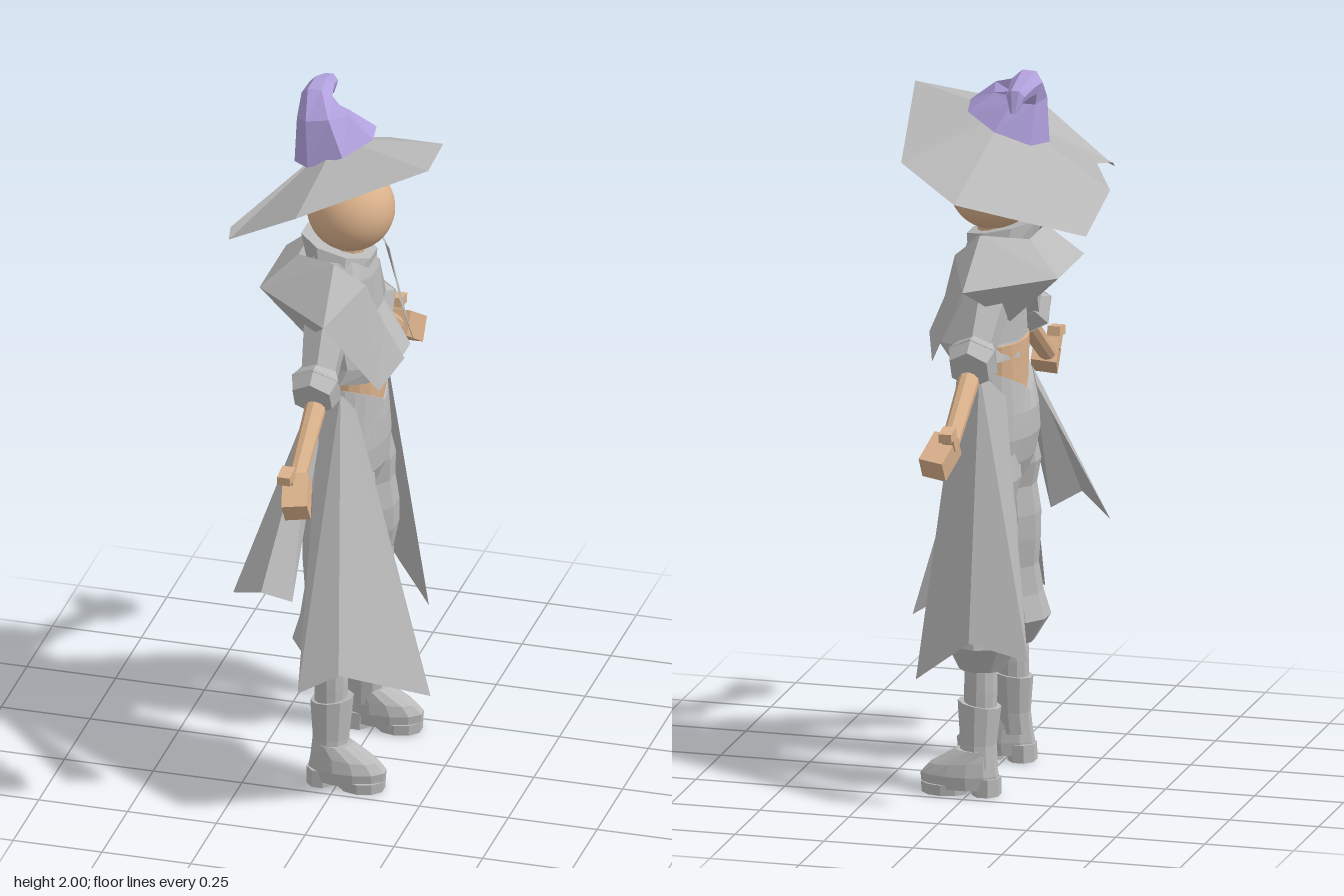
import * as THREE from 'three';

const mat = (name, color) => new THREE.MeshStandardMaterial({ name, color, side: THREE.DoubleSide });

export function createModel() {
  const root = new THREE.Group();
  const cloth = mat('grey cloth', 0xbababa);
  const skin = mat('skin', 0xdbb28c);
  const purple = mat('purple felt', 0xb0a0dc);

  const add = (name, geo, material) => {
    const m = new THREE.Mesh(geo, material);
    m.name = name;
    root.add(m);
    return m;
  };
  // faceted geometry from a list of triangle corners
  const faceted = (pts) => {
    const g = new THREE.BufferGeometry();
    g.setAttribute('position', new THREE.Float32BufferAttribute(pts.flat(), 3));
    g.computeVertexNormals();
    return g;
  };
  // rings, bottom to top: [cx, cy, cz, rx, rz, slope along x, lean towards -z]
  const loft = (rings, n, offset = 0, rule = (p) => p) => {
    const R = rings.map(([cx, cy, cz, rx, rz, slope = 0, lean = 0]) =>
      Array.from({ length: n }, (_, i) => {
        const a = ((i + offset) / n) * Math.PI * 2;
        const dx = rx * Math.cos(a), dz = rz * Math.sin(a);
        return rule([cx + dx, cy + slope * dx + Math.sin(lean) * dz, cz + Math.cos(lean) * dz], a);
      }));
    const out = [];
    const low = rings[0].slice(0, 3), high = rings[rings.length - 1].slice(0, 3);
    for (let i = 0; i < n; i++) {
      const j = (i + 1) % n;
      for (let k = 0; k < R.length - 1; k++) {
        const a = R[k], b = R[k + 1];
        out.push(a[i], b[i], a[j], a[j], b[i], b[j]);
      }
      const t = R[R.length - 1];
      out.push(low, R[0][i], R[0][j], high, t[j], t[i]);
    }
    return faceted(out);
  };
  // open cloth made of polygons, each drawn as a fan
  const sheet = (polys) => {
    const out = [];
    for (const p of polys) for (let i = 1; i < p.length - 1; i++) out.push(p[0], p[i], p[i + 1]);
    return faceted(out);
  };
  // tapered limb between two points
  const limb = (name, a, b, ra, rb, sides, material) => {
    const A = new THREE.Vector3(...a), B = new THREE.Vector3(...b);
    const g = new THREE.CylinderGeometry(rb, ra, A.distanceTo(B), sides).toNonIndexed();
    g.computeVertexNormals();
    const m = add(name, g, material);
    m.position.copy(A).add(B).multiplyScalar(0.5);
    m.quaternion.setFromUnitVectors(new THREE.Vector3(0, 1, 0), B.sub(A).normalize());
  };

  // head and neck
  add('head', new THREE.SphereGeometry(0.12, 32, 24), skin).position.set(-0.015, 1.662, 0);
  limb('neck', [-0.03, 1.45, 0], [-0.02, 1.6, 0], 0.05, 0.05, 10, skin);

  // hat: tattered brim and a bent cone
  const rim = [[-0.005, 1.7, -0.355], [0.18, 1.77, -0.225], [0.25, 1.89, 0.165], [-0.07, 1.79, 0.35],
    [-0.28, 1.66, 0.275], [-0.285, 1.68, 0.24], [-0.255, 1.69, 0.185], [-0.295, 1.62, 0.175],
    [-0.29, 1.55, -0.05], [-0.19, 1.61, -0.18]];
  const crown = [-0.05, 1.87, 0];
  add('hatBrim', sheet(rim.map((p, i) => [crown, rim[(i + 1) % rim.length], p])), cloth);
  add('hatCone', loft([
    [-0.055, 1.84, 0, 0.115, 0.112, 0.45, 0],
    [-0.09, 1.93, 0, 0.075, 0.07, 0.2, 0.2],
    [-0.12, 1.965, -0.04, 0.045, 0.044, 0, 0.9],
    [-0.125, 1.968, -0.1, 0.036, 0.03, 0, 1.4],
    [-0.12, 1.955, -0.15, 0.026, 0.024, 0, 1.9],
    [-0.12, 1.915, -0.167, 0.01, 0.008, 0, 3]], 7, 0.3), purple);

  // bare waist
  add('waist', loft([[-0.02, 1.02, 0, 0.09, 0.125], [-0.015, 1.12, 0, 0.093, 0.125],
    [-0.015, 1.24, 0, 0.095, 0.14]], 20), skin);

  // cropped jacket body and collar
  add('jacketBody', loft([[0, 1.2, 0, 0.11, 0.165], [0.02, 1.245, 0, 0.125, 0.155],
    [-0.015, 1.37, 0, 0.085, 0.125], [-0.03, 1.48, 0, 0.09, 0.125],
    [-0.045, 1.53, 0, 0.09, 0.09]], 10, 0.5), cloth);
  add('collar', loft([[-0.04, 1.48, 0, 0.09, 0.11, -0.1], [-0.048, 1.555, 0, 0.106, 0.085, -0.25]], 8, 0.5), cloth);

  // hips with a waistline dipping at the middle
  add('hips', loft([[-0.02, 0.85, 0, 0.08, 0.13], [-0.02, 0.91, 0, 0.105, 0.17], [-0.025, 0.98, 0, 0.115, 0.168],
    [-0.025, 1.05, 0, 0.112, 0.153], [-0.02, 1.13, 0, 0.102, 0.135]], 24, 0,
  (p, a) => [p[0], p[1] > 1.1 ? 1.09 + 0.08 * Math.abs(Math.sin(a)) : p[1], p[2]]), cloth);

  for (const s of [1, -1]) {
    const P = (x, y, z) => [x, y, s * z];

    // wide lapel wrapping over the shoulder to the back
    const A = P(0.06, 1.49, 0.115), B = P(-0.02, 1.56, 0.15), C = P(-0.14, 1.54, 0.08), T = P(-0.01, 1.435, 0.29);
    const K = P(-0.235, 1.45, 0.13), L = P(0.11, 1.2, 0.165), G = P(0.1, 1.36, 0.075), M = P(-0.1, 1.32, 0.13);
    const F = P(0.15, 1.25, 0.05);
    add('lapel', sheet([[A, B, T], [A, T, L], [A, L, G], [G, L, F], [B, C, K, T], [T, K, M]]), cloth);

    // arm: sleeve, puffed cuff, forearm, hand
    limb('sleeve', P(-0.04, 1.42, 0.11), P(-0.035, 1.25, 0.25), 0.075, 0.05, 6, cloth);
    limb('cuff', P(-0.035, 1.275, 0.215), P(-0.035, 1.245, 0.265), 0.045, 0.075, 6, cloth);
    limb('cuffEnd', P(-0.035, 1.245, 0.265), P(-0.035, 1.225, 0.31), 0.075, 0.06, 6, cloth);
    limb('forearm', P(-0.03, 1.22, 0.255), P(-0.03, 1.06, 0.49), 0.03, 0.025, 10, skin);
    const hand = add('hand', new THREE.BoxGeometry(0.07, 0.07, 0.105), skin);
    hand.position.set(-0.015, 1.042, s * 0.53);
    hand.rotation.set(s * 0.58, s * 0.2, 0);
    const palm = add('thumbBase', new THREE.BoxGeometry(0.035, 0.045, 0.03), skin);
    palm.position.set(-0.04, 1.085, s * 0.525);
    palm.rotation.x = s * 0.58;
    const thumb = add('thumb', new THREE.BoxGeometry(0.036, 0.026, 0.055), skin);
    thumb.position.set(-0.04, 1.108, s * 0.545);
    thumb.rotation.x = s * 0.15;

    // baggy banded trouser leg
    add('trouserLeg', loft([
      [-0.025, 0.345, s * 0.15, 0.062, 0.055], [-0.03, 0.42, s * 0.142, 0.105, 0.106],
      [-0.025, 0.49, s * 0.138, 0.09, 0.09], [-0.02, 0.57, s * 0.128, 0.085, 0.083],
      [-0.015, 0.65, s * 0.12, 0.098, 0.093], [-0.015, 0.72, s * 0.115, 0.1, 0.095],
      [-0.015, 0.8, s * 0.11, 0.09, 0.085], [-0.02, 0.87, s * 0.1, 0.1, 0.09],
      [-0.02, 0.95, s * 0.08, 0.09, 0.08]], 10, 0.5), cloth);

    // calf and boot
    add('calf', loft([[-0.025, 0.2, s * 0.163, 0.044, 0.043], [-0.025, 0.29, s * 0.158, 0.047, 0.046],
      [-0.025, 0.36, s * 0.155, 0.045, 0.045]], 12), cloth);
    add('bootShaft', loft([[-0.025, 0.08, s * 0.177, 0.052, 0.045], [-0.022, 0.14, s * 0.17, 0.05, 0.045],
      [-0.022, 0.25, s * 0.16, 0.06, 0.052, 0.15]], 10, 0.5), cloth);
    add('bootFoot', loft([[0.026, 0.018, s * 0.182, 0.108, 0.05], [0.028, 0.055, s * 0.182, 0.11, 0.054],
      [0.02, 0.09, s * 0.18, 0.094, 0.05, -0.1], [-0.015, 0.125, s * 0.176, 0.055, 0.043]], 12, 0.5), cloth);
    add('bootHeel', loft([[-0.047, 0, s * 0.18, 0.04, 0.045], [-0.045, 0.05, s * 0.18, 0.042, 0.045]], 8, 0.5), cloth);
    add('bootSole', loft([[0.068, 0, s * 0.183, 0.065, 0.05], [0.068, 0.03, s * 0.183, 0.067, 0.052]], 10, 0.5), cloth);
  }

  // jacket back joining both lapels
  const Cb = [-0.14, 1.54, 0.08], Kb = [-0.235, 1.45, 0.13], Mb = [-0.1, 1.32, 0.13];
  const flip = ([x, y, z]) => [x, y, -z];
  add('jacketBack', sheet([[Cb, flip(Cb), flip(Kb), Kb], [Kb, flip(Kb), flip(Mb), Mb]]), cloth);

  // coat tails: folded panels hanging from the waist
  const waistFold = [0, 1.17, 0.155], hemFold = [0.08, 0.47, 0.45];
  add('leftFrontTail', sheet([
    [waistFold, [0.04, 1.12, 0.14], [0.29, 0.355, 0.28], hemFold],
    [waistFold, hemFold, [-0.03, 0.41, 0.468], [-0.06, 1.09, 0.155]]]), cloth);
  const backFold = [-0.085, 1.12, 0.145], backHem = [-0.14, 0.69, 0.445];
  add('leftBackTail', sheet([
    [backFold, backHem, [-0.065, 0.65, 0.4], [-0.05, 1.1, 0.145]],
    [backFold, [-0.11, 1.08, 0.1], [-0.24, 0.64, 0.37], backHem]]), cloth);
  const rightFold = [-0.02, 1.18, -0.155], rightHem = [-0.06, 0.485, -0.405];
  add('rightTail', sheet([
    [rightFold, rightHem, [0.125, 0.335, -0.275], [0.05, 1.12, -0.14]],
    [rightFold, [-0.09, 1.11, -0.14], [-0.225, 0.445, -0.4], rightHem]]), cloth);

  return root;
}
